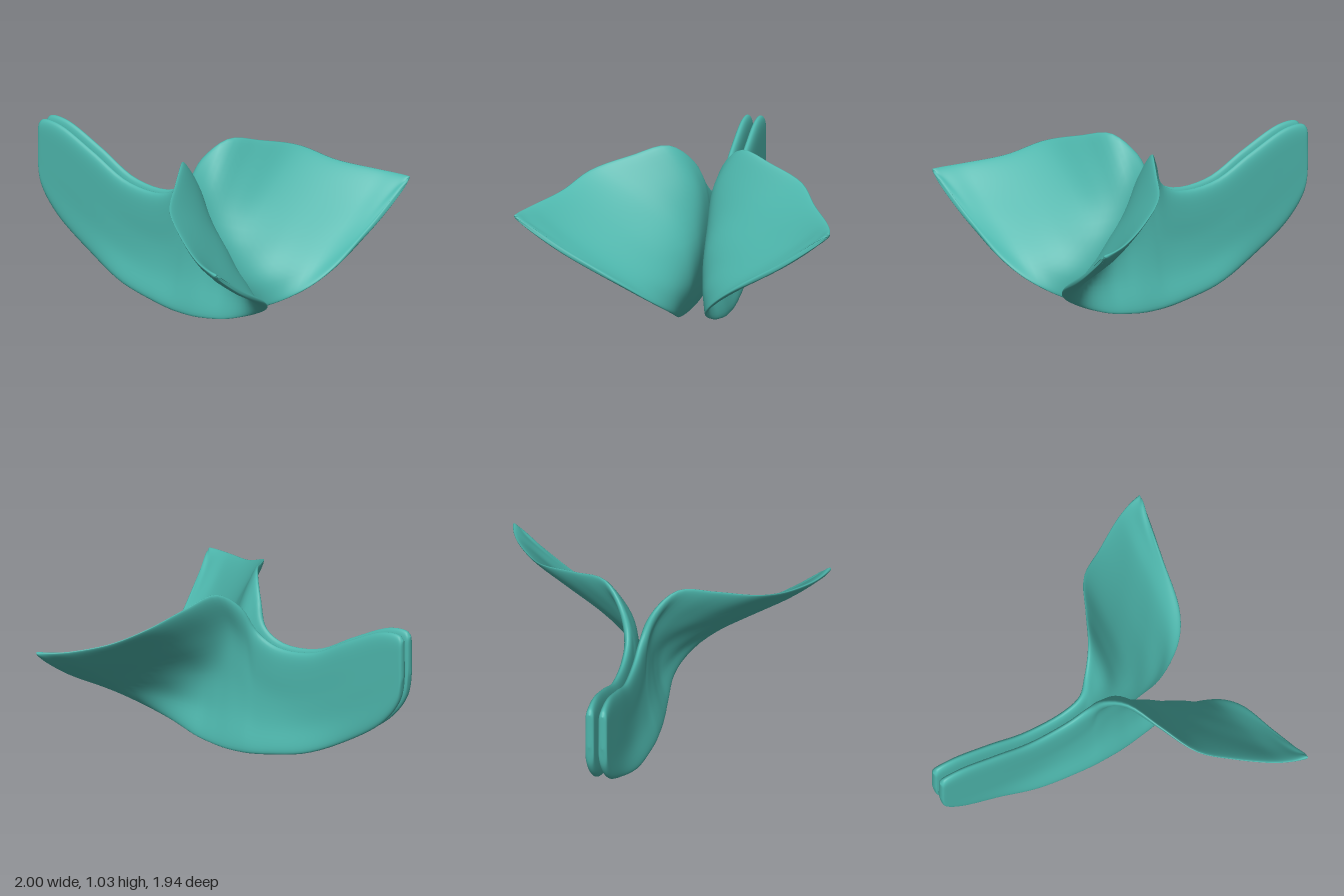
import * as THREE from 'three';

// Cross-section stations along the plate:
// x, bottom y, top y, then depth z at five heights from bottom to top
const STATIONS = [
  [-1.0, 0.69, 0.93, 0.04, 0.04, 0.04, 0.04, 0.04],
  [-0.97, 0.53, 0.96, 0.042, 0.04, 0.04, 0.04, 0.04],
  [-0.85, 0.37, 0.955, 0.045, 0.04, 0.04, 0.04, 0.04],
  [-0.6, 0.2, 0.84, 0.06, 0.042, 0.04, 0.04, 0.04],
  [-0.35, 0.085, 0.71, 0.1, 0.05, 0.036, 0.036, 0.036],
  [-0.1, 0.03, 0.695, 0.12, 0.06, 0.035, 0.035, 0.035],
  [0.03, 0.01, 0.77, 0.125, 0.06, 0.035, 0.035, 0.045],
  [0.1, 0.005, 0.92, 0.125, 0.058, 0.035, 0.04, 0.1],
  [0.2, 0.005, 1.03, 0.125, 0.055, 0.036, 0.075, 0.23],
  [0.3, 0.015, 0.98, 0.12, 0.05, 0.05, 0.17, 0.43],
  [0.42, 0.035, 0.905, 0.11, 0.055, 0.1, 0.32, 0.65],
  [0.6, 0.1, 0.815, 0.105, 0.13, 0.28, 0.52, 0.775],
  [0.8, 0.22, 0.765, 0.2, 0.36, 0.55, 0.74, 0.9],
  [0.9, 0.33, 0.75, 0.34, 0.52, 0.68, 0.82, 0.945],
  [0.95, 0.48, 0.745, 0.6, 0.71, 0.8, 0.89, 0.96],
  [1.0, 0.71, 0.74, 0.94, 0.95, 0.955, 0.965, 0.97],
];
const NU = 100, NV = 28, ROWS = 5;

// Bunches samples towards both edges so they round off neatly
const ease = (t) => 0.5 - 0.5 * Math.cos(Math.PI * t);
// Rounded thickness profile: 0 at both edges, 1 inside
const rounded = (t, power) => Math.sqrt(Math.max(0, 1 - Math.abs(2 * t - 1) ** power));

// Grid of points on the middle surface of the plate
function middleSurface() {
  const rails = [];
  for (let r = 0; r < ROWS; r++) {
    rails.push(new THREE.CatmullRomCurve3(STATIONS.map(([x, y0, y1, ...z]) =>
      new THREE.Vector3(x, THREE.MathUtils.lerp(y0, y1, r / (ROWS - 1)), z[r]))));
  }
  const grid = [];
  for (let i = 0; i <= NU; i++) {
    const section = new THREE.CatmullRomCurve3(rails.map((c) => c.getPoint(ease(i / NU))));
    const column = [];
    for (let j = 0; j <= NV; j++) column.push(section.getPoint(ease(j / NV)));
    grid.push(column);
  }
  return grid;
}

// Thickens the middle surface into a closed plate; side is +1 or -1 in z
function plateGeometry(grid, side) {
  const positions = [], indices = [], ring = 2 * NV;
  for (let i = 0; i <= NU; i++) {
    for (let k = 0; k < ring; k++) {
      const outer = k <= NV;
      const j = outer ? k : ring - k;
      const p = grid[i][j];
      const du = grid[Math.min(i + 1, NU)][j].clone().sub(grid[Math.max(i - 1, 0)][j]);
      const dv = grid[i][Math.min(j + 1, NV)].clone().sub(grid[i][Math.max(j - 1, 0)]);
      const normal = du.cross(dv).normalize();
      const base = THREE.MathUtils.lerp(0.028, 0.016, THREE.MathUtils.smoothstep(p.x, 0, 0.5));
      const half = base * rounded(ease(j / NV), 8) * rounded(ease(i / NU), 30);
      const q = p.clone().addScaledVector(normal, outer ? half : -half);
      positions.push(q.x, q.y, q.z * side);
    }
  }
  for (let i = 0; i < NU; i++) {
    for (let k = 0; k < ring; k++) {
      const n = (k + 1) % ring;
      const a = i * ring + k, b = a + ring, c = (i + 1) * ring + n, d = i * ring + n;
      if (side > 0) indices.push(a, b, c, a, c, d);
      else indices.push(a, c, b, a, d, c);
    }
  }
  const geometry = new THREE.BufferGeometry();
  geometry.setAttribute('position', new THREE.Float32BufferAttribute(positions, 3));
  geometry.setIndex(indices);
  geometry.computeVertexNormals();
  return geometry;
}

export function createModel() {
  const group = new THREE.Group();
  group.name = 'flaredPlates';
  const teal = new THREE.MeshStandardMaterial({ color: 0x4db6ac });
  teal.name = 'teal';
  const grid = middleSurface();

  // Two mirrored plates, flat together at one end and flaring apart at the other
  for (const [name, side] of [['frontPlate', 1], ['backPlate', -1]]) {
    const plate = new THREE.Mesh(plateGeometry(grid, side), teal);
    plate.name = name;
    group.add(plate);
  }
  return group;
}
